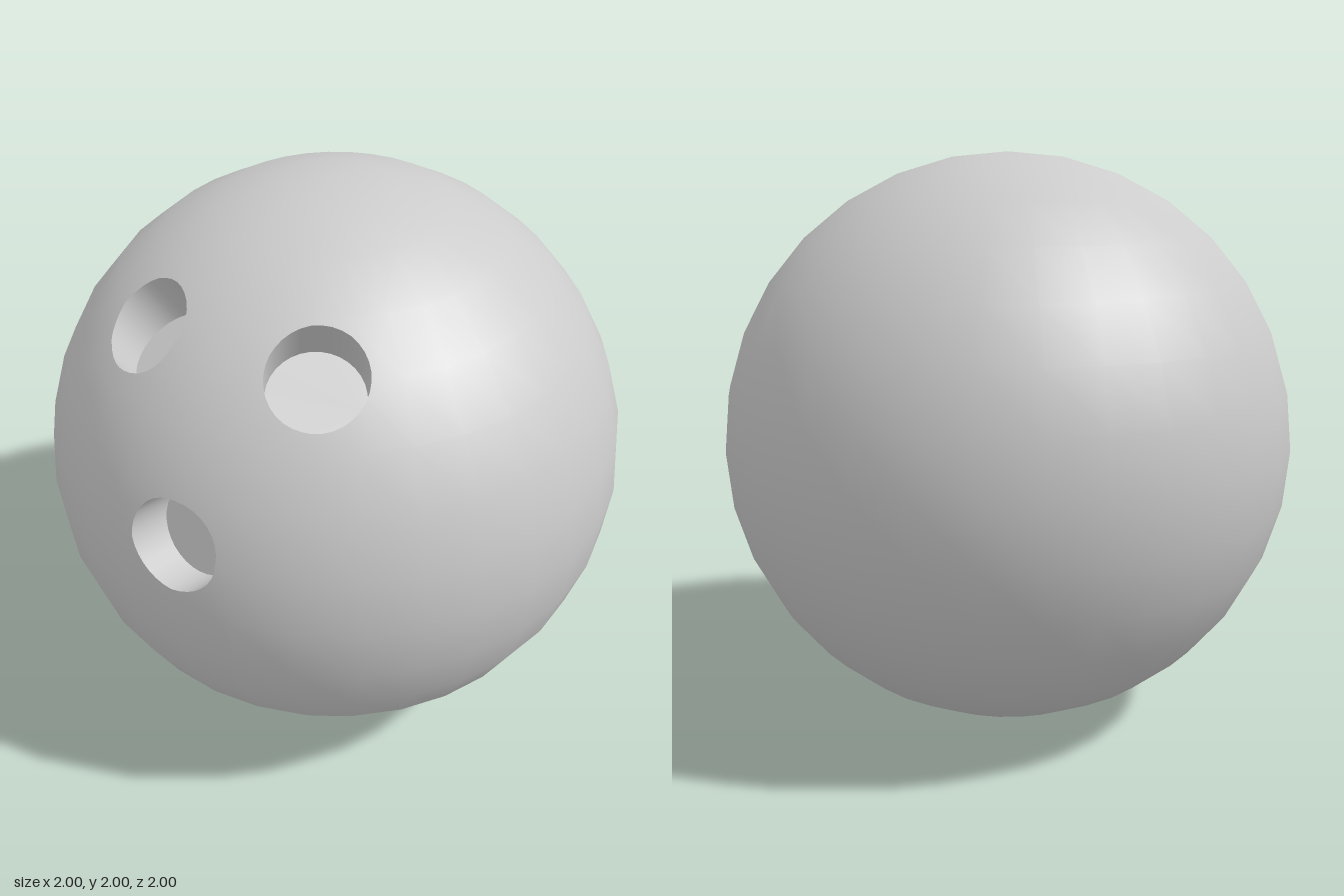
import * as THREE from 'three';

const SIDES = 32;
const HOLE_RADIUS = 0.152;

// rim = centre of the opening relative to the ball centre, axis = drilling axis pointing outwards
const HOLES = [
  { name: 'thumbHole', rim: [-0.005, 0.213, 0.965], axis: [-0.08, 0.25, 0.96], depth: 0.15 },
  { name: 'leftFingerHole', rim: [0.294, 0.703, 0.62], axis: [0.3, 0.84, 0.45], depth: 0.145 },
  { name: 'rightFingerHole', rim: [-0.294, 0.703, 0.62], axis: [-0.3, 0.84, 0.45], depth: 0.145 },
];

// Splits a convex polygon by a plane into its inner and outer part
function split(poly, plane) {
  const inner = [], outer = [];
  poly.forEach((a, i) => {
    const b = poly[(i + 1) % poly.length];
    const da = plane.distanceToPoint(a), db = plane.distanceToPoint(b);
    if (da <= 1e-9) inner.push(a);
    if (da >= -1e-9) outer.push(a);
    if ((da < -1e-9 && db > 1e-9) || (da > 1e-9 && db < -1e-9)) {
      const m = a.clone().lerp(b, da / (da - db));
      inner.push(m);
      outer.push(m);
    }
  });
  return [inner, outer];
}

// Turns convex polygons into a mesh with a rule for the normals
function polygonMesh(name, polys, normalAt, material) {
  const pos = [], nor = [];
  for (const poly of polys) {
    for (let i = 1; i + 1 < poly.length; i++) {
      for (const v of [poly[0], poly[i], poly[i + 1]]) {
        pos.push(v.x, v.y, v.z);
        nor.push(...normalAt(v).toArray());
      }
    }
  }
  const geo = new THREE.BufferGeometry();
  geo.setAttribute('position', new THREE.Float32BufferAttribute(pos, 3));
  geo.setAttribute('normal', new THREE.Float32BufferAttribute(nor, 3));
  const mesh = new THREE.Mesh(geo, material);
  mesh.name = name;
  return mesh;
}

export function createModel() {
  const group = new THREE.Group();
  group.name = 'ball';
  const material = new THREE.MeshStandardMaterial({ color: 0xcccccc });

  // Triangles of the full ball
  const sphere = new THREE.SphereGeometry(1, 32, 16).toNonIndexed().attributes.position;
  let shell = [];
  for (let i = 0; i < sphere.count; i += 3) {
    shell.push([0, 1, 2].map((k) => new THREE.Vector3().fromBufferAttribute(sphere, i + k)));
  }

  for (const { name, rim, axis, depth } of HOLES) {
    const centre = new THREE.Vector3(...rim);
    const dir = new THREE.Vector3(...axis).normalize();
    const turn = new THREE.Quaternion().setFromUnitVectors(new THREE.Vector3(0, 0, 1), dir);
    const floorCentre = centre.clone().addScaledVector(dir, -depth);
    const floorPlane = new THREE.Plane().setFromNormalAndCoplanarPoint(dir, floorCentre);

    // Side planes and floor corners of the drilled prism
    const planes = [], floor = [];
    for (let i = 0; i < SIDES; i++) {
      const spoke = (t) => new THREE.Vector3(Math.cos(t), Math.sin(t), 0).applyQuaternion(turn);
      const step = (2 * Math.PI) / SIDES;
      const corner = floorCentre.clone().addScaledVector(spoke(i * step), HOLE_RADIUS);
      floor.push(corner);
      planes.push(new THREE.Plane().setFromNormalAndCoplanarPoint(spoke((i + 0.5) * step), corner));
    }

    // Cut the opening; edges of the removed pieces carry the wall
    const kept = [], walls = [];
    for (const poly of shell) {
      if (poly.every((v) => v.distanceTo(centre) > 0.6)) {
        kept.push(poly);
        continue;
      }
      let rest = poly;
      for (const plane of planes) {
        const [inner, outer] = split(rest, plane);
        if (outer.length > 2) kept.push(outer);
        rest = inner;
        if (rest.length < 3) break;
      }
      if (rest.length < 3) continue;
      rest.forEach((p, i) => {
        const q = rest[(i + 1) % rest.length];
        const onSide = planes.some((s) =>
          Math.abs(s.distanceToPoint(p)) < 1e-6 && Math.abs(s.distanceToPoint(q)) < 1e-6);
        if (!onSide) return;
        const drop = (v) => floorPlane.projectPoint(v, new THREE.Vector3());
        walls.push([p, q, drop(q), drop(p)]);
      });
    }
    shell = kept;

    // Hole wall and floor
    const hole = new THREE.Group();
    hole.name = name;
    const inward = (v) => floorCentre.clone()
      .sub(floorPlane.projectPoint(v, new THREE.Vector3())).normalize();
    hole.add(polygonMesh(name + 'Wall', walls, inward, material));
    hole.add(polygonMesh(name + 'Floor', [floor], () => dir, material));
    hole.position.y = 1;
    group.add(hole);
  }

  // Outer shell with the openings
  const ball = polygonMesh('shell', shell, (v) => v.clone().normalize(), material);
  ball.position.y = 1;
  group.add(ball);
  return group;
}
